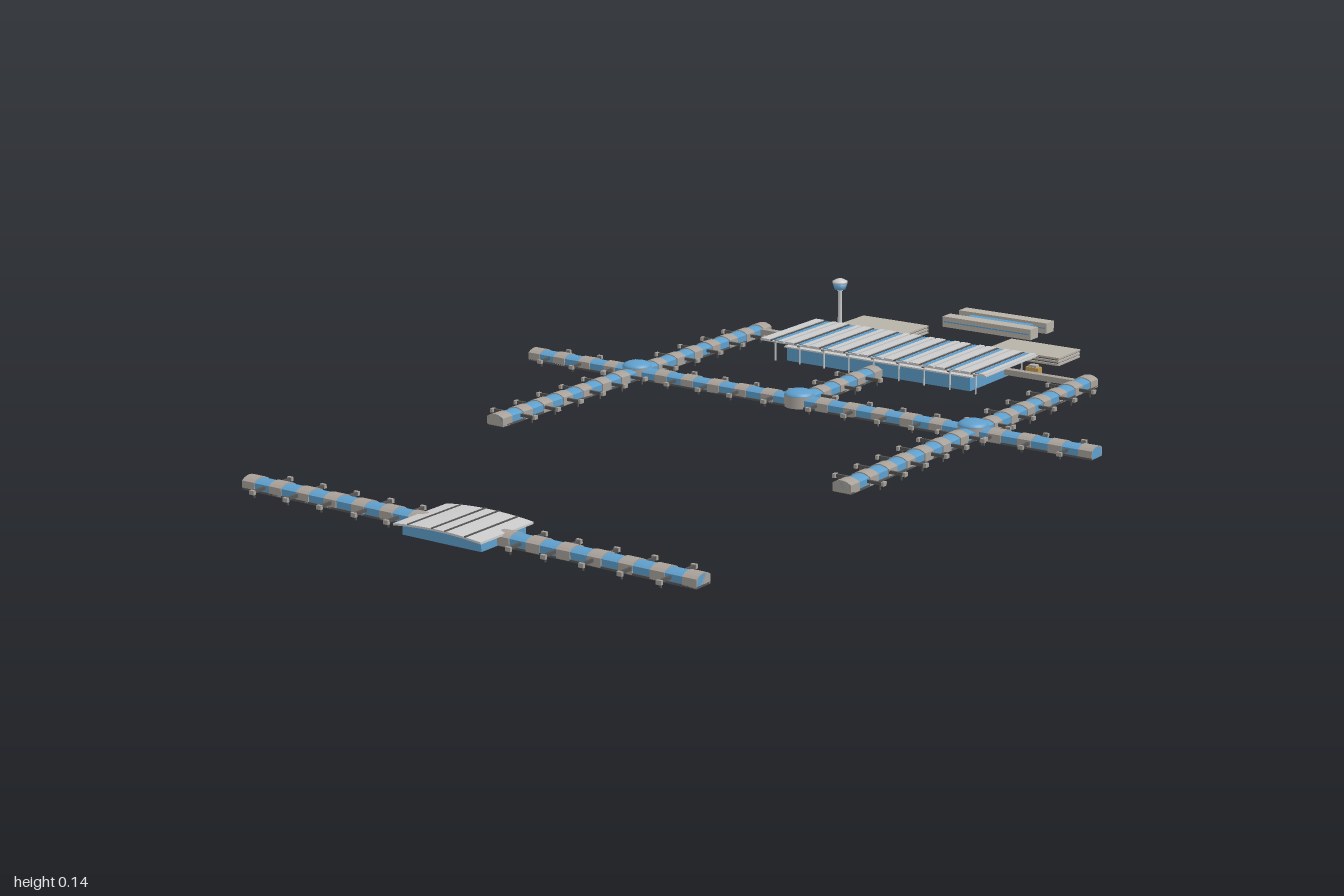
import * as THREE from 'three';

const mat = (color) => new THREE.MeshStandardMaterial({ color });
const GREY = mat(0xcccccc), GLASS = mat(0x5f9fcc), STONE = mat(0xb8b3a8);
const PANEL = mat(0xa8a19a), DARK = mat(0x555555), GOLD = mat(0xc09a50);

function add(parent, name, geo, material, x = 0, y = 0, z = 0) {
  const m = new THREE.Mesh(geo, material);
  m.name = name;
  m.position.set(x, y, z);
  parent.add(m);
  return m;
}

// Box given by its centre in plan and its bottom height
const box = (p, name, material, w, h, d, x, y, z) =>
  add(p, name, new THREE.BoxGeometry(w, h, d), material, x, y + h / 2, z);

// Vaulted length of hall running along x, centred on the origin
function vault(width, side, top, length) {
  const s = new THREE.Shape();
  s.moveTo(-width / 2, 0);
  s.lineTo(width / 2, 0);
  s.lineTo(width / 2, side);
  s.quadraticCurveTo(0, 2 * top - side, -width / 2, side);
  s.closePath();
  const g = new THREE.ExtrudeGeometry(s, { depth: length, bevelEnabled: false, curveSegments: 6 });
  return g.translate(0, 0, -length / 2).rotateY(Math.PI / 2);
}

// Boarding bridge reaching out along +z
function bridge() {
  const g = new THREE.Group();
  g.name = 'boardingBridge';
  box(g, 'bridgeArm', DARK, 0.005, 0.006, 0.036, 0, 0.009, 0.036);
  box(g, 'bridgeHead', PANEL, 0.011, 0.008, 0.006, 0.002, 0.008, 0.053);
  box(g, 'bridgeLeg', DARK, 0.003, 0.009, 0.003, 0, 0, 0.046);
  return g;
}

// Glass concourse with panel bands and bridges on both sides, along local x
function concourse(name, length, gates) {
  const g = new THREE.Group();
  g.name = name;
  box(g, 'floorSlab', DARK, length, 0.004, 0.041, 0, 0, 0);
  add(g, 'glassHall', vault(0.037, 0.016, 0.022, length), GLASS, 0, 0.001, 0);
  const n = Math.round(length / 0.069);
  const band = vault(0.041, 0.017, 0.024, 0.03);
  for (let i = 0; i <= n; i++) {
    add(g, 'panelBand', band, PANEL, -length / 2 + 0.015 + (i * (length - 0.03)) / n, 0.001, 0);
  }
  for (const x of gates) for (const side of [0, Math.PI]) {
    const b = bridge();
    b.position.x = x;
    b.rotation.y = side;
    g.add(b);
  }
  return g;
}

function terminal() {
  const g = new THREE.Group();
  g.name = 'terminal';
  const W = 0.565, D = 0.215;
  box(g, 'terminalHall', GLASS, 0.46, 0.03, 0.165, 0, 0, 0);
  box(g, 'terminalHallRoof', GREY, 0.47, 0.003, 0.172, 0, 0.029, 0);
  box(g, 'upperHall', GLASS, 0.22, 0.007, 0.13, 0, 0.031, 0);
  box(g, 'canopy', GREY, W, 0.003, D, 0, 0.043, 0);
  // Roof bays: raised slabs, dark gutters and skylights
  const bays = 9, pitch = W / bays;
  for (let i = 0; i < bays; i++) {
    const x = -W / 2 + (i + 0.5) * pitch;
    box(g, 'roofSlab', GREY, pitch * 0.34, 0.003, D, x - pitch * 0.3, 0.0455, 0);
    box(g, 'roofSlab', GREY, pitch * 0.2, 0.003, D, x + pitch * 0.34, 0.0455, 0);
    box(g, 'skylight', GLASS, pitch * 0.16, 0.002, D * 0.97, x + pitch * 0.12, 0.0455, 0);
    box(g, 'roofGutter', DARK, pitch * 0.08, 0.002, D, x - pitch * 0.06, 0.0455, 0);
    box(g, 'canopyBeam', DARK, 0.004, 0.004, D * 0.96, x, 0.0395, 0);
    for (const s of [-1, 1]) {
      add(g, 'canopyColumn', new THREE.CylinderGeometry(0.002, 0.002, 0.043, 8), GREY, x, 0.0215, s * 0.095);
    }
  }
  // Stair cabins and side links
  for (const s of [-1, 1]) {
    box(g, 'cornerCabin', GOLD, 0.03, 0.016, 0.018, s * 0.268, 0, -0.117);
    box(g, 'cabinRoof', STONE, 0.018, 0.005, 0.014, s * 0.268, 0.016, -0.117);
    box(g, 'sideLink', PANEL, 0.19, 0.012, 0.016, s * 0.315, 0.006, -0.065);
  }
  g.position.z = -0.523;
  return g;
}

function satellite() {
  const g = concourse('satelliteConcourse', 1.04, [0.14, 0.217, 0.3, 0.382, 0.465].flatMap((x) => [x, -x]));
  box(g, 'satelliteHall', GLASS, 0.18, 0.02, 0.125, 0, 0, 0.002);
  // Gently arched roof with ribs
  const roof = new THREE.BoxGeometry(0.2, 0.004, 0.148, 16, 1, 1);
  const p = roof.attributes.position;
  for (let i = 0; i < p.count; i++) p.setY(i, p.getY(i) + 0.006 * (1 - (p.getX(i) / 0.1) ** 2));
  roof.computeVertexNormals();
  add(g, 'satelliteRoof', roof, GREY, 0, 0.021, 0.004);
  for (const x of [-0.065, -0.01, 0.02, 0.065]) {
    box(g, 'roofRib', DARK, 0.004, 0.002, 0.148, x, 0.0225 + 0.006 * (1 - (x / 0.1) ** 2), 0.004);
  }
  g.position.z = 0.922;
  return g;
}

function controlTower() {
  const g = new THREE.Group();
  g.name = 'controlTower';
  const lathe = (pts) => new THREE.LatheGeometry(pts.map(([r, y]) => new THREE.Vector2(r, y)), 16);
  add(g, 'towerShaft', lathe([[0, 0], [0.008, 0], [0.005, 0.02], [0.0045, 0.11], [0.01, 0.116], [0, 0.116]]), GREY);
  add(g, 'towerCab', lathe([[0, 0.115], [0.012, 0.115], [0.017, 0.13], [0, 0.13]]), GLASS);
  add(g, 'towerRoof', lathe([[0, 0.129], [0.017, 0.129], [0.017, 0.133], [0.008, 0.138], [0, 0.138]]), GREY);
  g.position.set(-0.238, 0, -0.662);
  return g;
}

export function createModel() {
  const model = new THREE.Group();
  model.name = 'airport';

  // Cross concourse, two long piers and the stem to the terminal
  const cross = concourse('mainConcourse', 1.38,
    [0.055, 0.14, 0.22, 0.3, 0.465, 0.55, 0.635].flatMap((x) => [x, -x]));
  cross.position.z = -0.145;
  model.add(cross);
  const pierGates = [-0.54, -0.46, -0.375, -0.29, -0.21, -0.1, -0.03, 0.045, 0.12, 0.195, 0.27];
  for (const s of [-1, 1]) {
    const pier = concourse('pier', 0.95, pierGates.map((z) => -(z + 0.145)));
    pier.rotation.y = Math.PI / 2;
    pier.position.set(s * 0.413, 0, -0.145);
    model.add(pier);
  }
  const stem = concourse('stemConcourse', 0.29, [-0.085, 0, 0.085]);
  stem.rotation.y = Math.PI / 2;
  stem.position.z = -0.285;
  model.add(stem);

  // Domed hubs at the crossings
  for (const x of [-0.413, 0, 0.413]) {
    add(model, 'hubDrum', new THREE.CylinderGeometry(0.031, 0.031, 0.024, 24), PANEL, x, 0.012, -0.145);
    const dome = new THREE.SphereGeometry(0.031, 24, 8, 0, Math.PI * 2, 0, Math.PI / 2);
    add(model, 'hubDome', dome, GLASS, x, 0.024, -0.145).scale.y = 0.38;
  }

  model.add(terminal(), satellite(), controlTower());

  // Parking blocks behind the terminal
  for (const s of [-1, 1]) {
    for (let i = 0; i < 3; i++) {
      box(model, 'parkingDeck', STONE, 0.172, 0.004, 0.095, s * 0.193, i * 0.007, -0.776);
    }
    box(model, 'parkingCore', DARK, 0.164, 0.017, 0.088, s * 0.193, 0, -0.776);
  }

  // Twin-wing block with a glass hall between
  for (const z of [-0.984, -0.912]) {
    box(model, 'wing', STONE, 0.228, 0.024, 0.033, 0, 0, z);
    box(model, 'wingWindows', GLASS, 0.22, 0.003, 0.0345, 0, 0.011, z);
  }
  box(model, 'wingLink', GLASS, 0.16, 0.018, 0.05, 0, 0, -0.948);
  return model;
}
